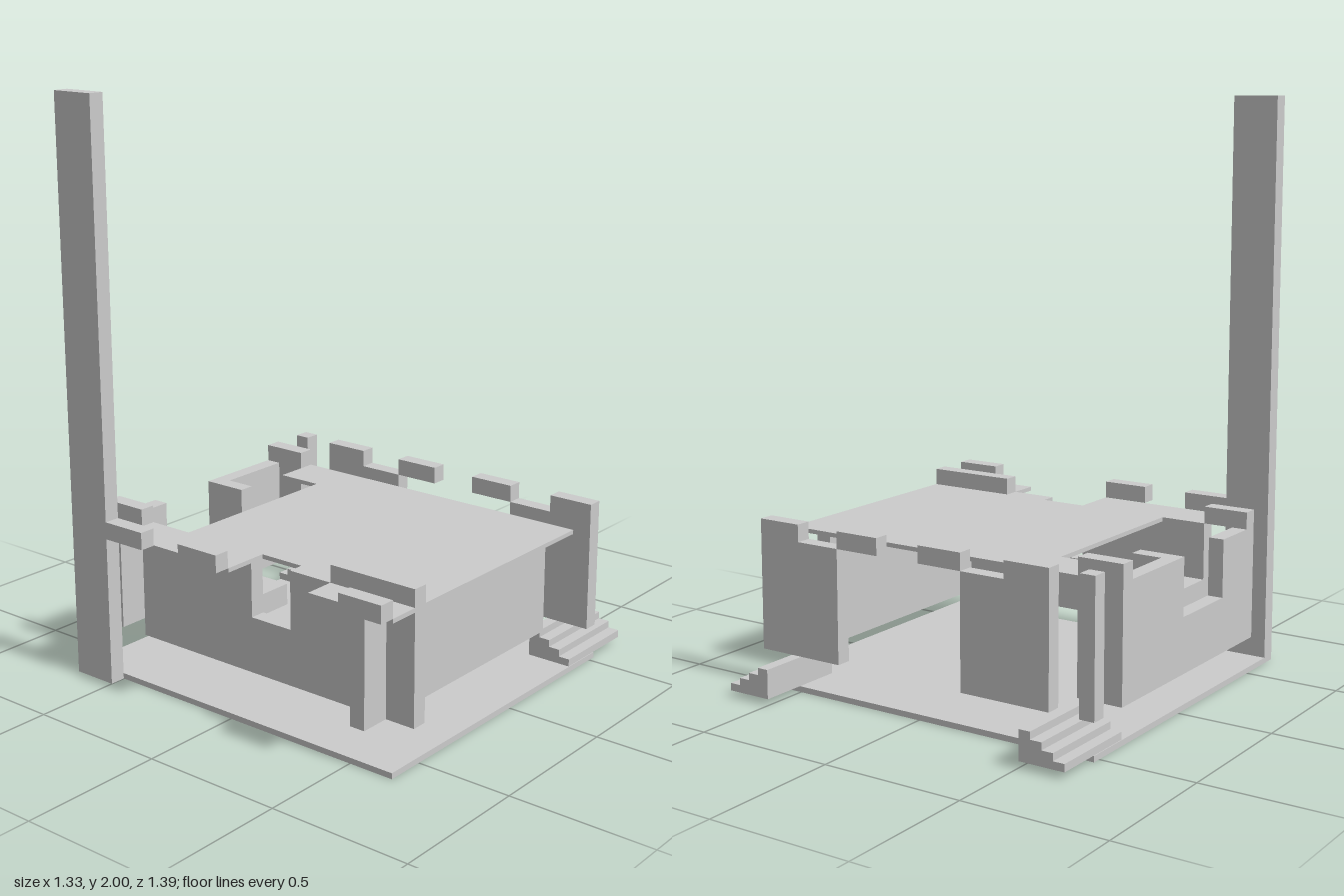
import * as THREE from 'three';

const mat = new THREE.MeshStandardMaterial({ color: 0xcccccc, flatShading: true });

export function createModel() {
  const model = new THREE.Group();

  const add = (name, geometry) => {
    const mesh = new THREE.Mesh(geometry, mat);
    mesh.name = name;
    model.add(mesh);
  };
  // Box from its min and max on each axis
  const box = (name, x0, x1, y0, y1, z0, z1) => add(name,
    new THREE.BoxGeometry(x1 - x0, y1 - y0, z1 - z0)
      .translate((x0 + x1) / 2, (y0 + y1) / 2, (z0 + z1) / 2));
  const extrude = (pts, depth) => new THREE.ExtrudeGeometry(
    new THREE.Shape(pts.map(p => new THREE.Vector2(...p))), { depth, bevelEnabled: false });
  // Outline in (x, y), running from z0 to z1
  const alongZ = (name, pts, z0, z1) => add(name, extrude(pts, z1 - z0).translate(0, 0, z0));
  // Outline in (z, y), running from x0 to x1
  const alongX = (name, pts, x0, x1) =>
    add(name, extrude(pts, x1 - x0).rotateY(-Math.PI / 2).translate(x1, 0, 0));

  const U = 1 / 6;                 // plan module
  const E = 0.664;                 // outer x of the building
  const base = 0.125, sill = 0.32, eave = 0.508, deck = 0.523, crest = 0.583;

  // Ground slab and tall tower
  box('groundSlab', -E, E, 0, 0.02, -0.53, 0.637);
  box('tower', -E, -0.5, 0, 2, 0.637, 0.693);

  // Roof deck with cut-outs for the stairwell and the front window
  add('roofDeck', extrude([
    [-0.5, -0.365], [E, -0.365], [E, 0.635], [2 * U, 0.635], [2 * U, 0.527],
    [U, 0.527], [U, 0.472], [0, 0.472], [0, 0.635], [-0.5, 0.635],
    [-0.5, 0.472], [-2 * U, 0.472], [-2 * U, -0.2], [-0.5, -0.2],
  ], deck - eave).rotateX(Math.PI / 2).translate(0, deck, 0));

  // Front wall with open window notch
  alongZ('frontWall', [
    [-0.5, base], [E, base], [E, eave], [U, eave], [U, sill], [0, sill], [0, eave], [-0.5, eave],
  ], 0.472, 0.527);

  // Side wall on the left
  box('leftSideWall', 0.5, 0.555, base, eave, -0.365, 0.635);

  // Side wall on the right, with window notch and bay returns
  alongX('rightSideWall', [
    [-0.365, base], [0.527, base], [0.527, deck], [0.3, deck],
    [0.3, sill], [0.025, sill], [0.025, deck], [-0.365, deck],
  ], -E, -0.609);
  box('bayReturn', -0.609, -0.5, base, deck, -0.365, -0.307);
  box('bayReturn', -0.609, -0.5, base, deck, -0.03, 0.025);

  // Rear wall panels, stepped at the top, and rear corner post
  const z0 = -0.53, z1 = -0.475;
  alongZ('rearWallPanel', [
    [2 * U, base], [E, base], [E, crest], [0.5, crest], [0.5, deck], [2 * U, deck],
  ], z0, z1);
  alongZ('rearWallPanel', [
    [-0.5, base], [-U, base], [-U, deck], [-2 * U, deck], [-2 * U, crest], [-0.5, crest],
  ], z0, z1);
  box('rearPost', -E, -0.609, base, crest, z0, z1);

  // Battlement blocks: x range, z range
  [
    [-0.5, -2 * U, 0.637, 0.693], [-U, 0, 0.637, 0.693], [0.5, E, 0.637, 0.693],
    [-U, 0, z0, z1], [U, 2 * U, z0, z1],
    [2 * U, E, 0.472, 0.527],
    [-E, -0.5, 0.472, 0.527], [-E, -0.5, -0.365, -0.307],
  ].forEach(([xa, xb, za, zb]) => box('battlement', xa, xb, deck, crest, za, zb));

  // Inner stair, climbing toward the front
  alongX('innerStair', [
    [-0.03, 0.105], [0.472, 0.105], [0.472, sill], [0.3, sill], [0.3, 0.25],
    [0.135, 0.25], [0.135, 0.185], [-0.03, 0.185],
  ], -0.5, -2 * U);

  // Rear outer stairs, descending outward on both sides
  for (const side of [1, -1]) {
    const pts = [[0.5, 0.022]];
    for (let i = 0; i < 4; i++) {
      const y = 0.123 - i * 0.025;
      pts.push([0.5 + i * 0.041, y], [0.5 + (i + 1) * 0.041, y]);
    }
    pts.push([E, 0.022]);
    alongZ('outerStair', pts.map(([x, y]) => [x * side, y]), -0.697, -0.365);
  }

  return model;
}
